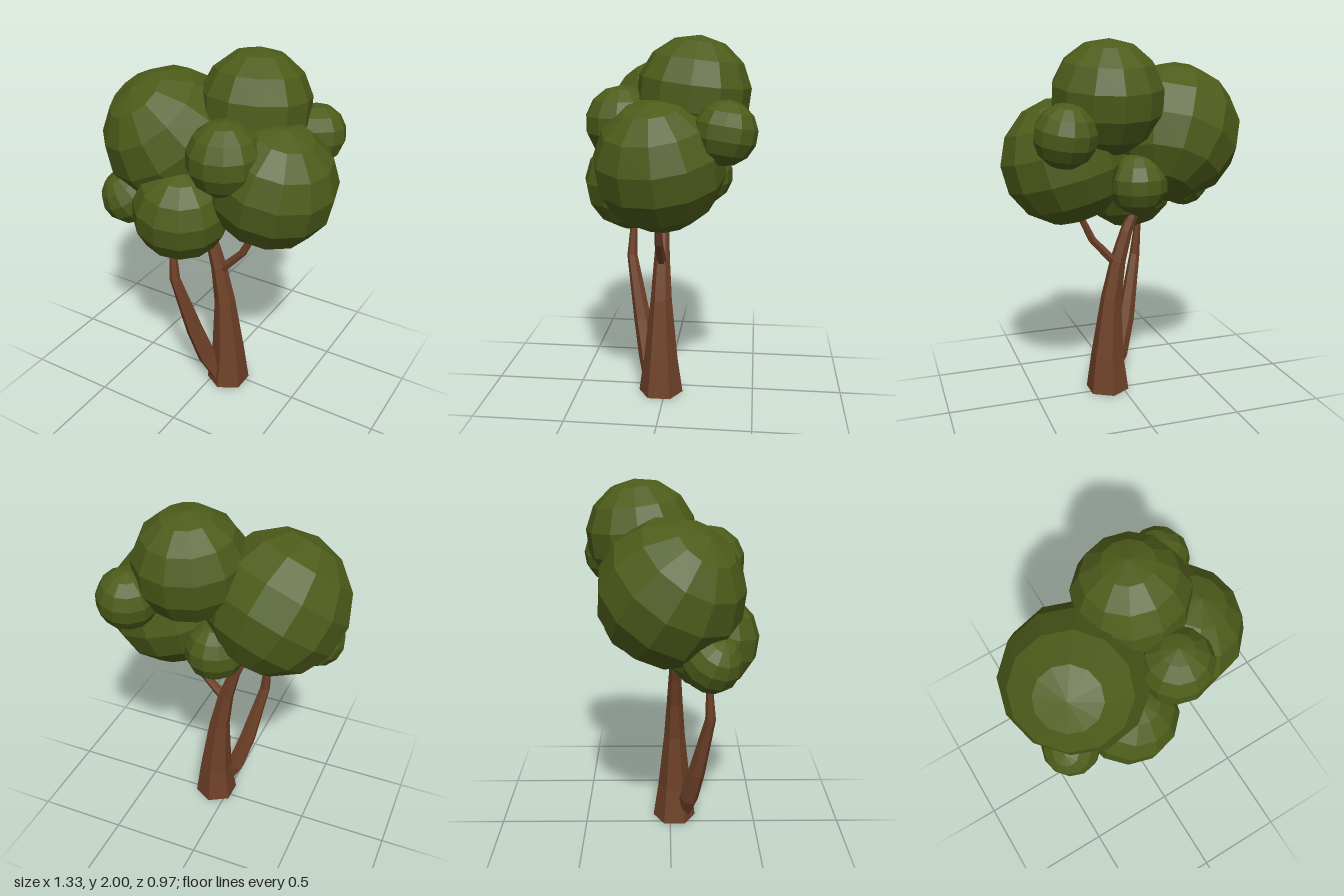
import * as THREE from 'three';

const bark = new THREE.MeshStandardMaterial({ color: 0x6e4128, flatShading: true });
const leaf = new THREE.MeshStandardMaterial({ color: 0x4d5c1a, flatShading: true });

// Six-sided tapering limb; each stop is [x, y, z, radius]
function limb(name, stops, sides = 6) {
  const centres = stops.map(([x, y, z]) => new THREE.Vector3(x, y, z));
  const last = stops.length - 1;
  const pos = [];
  const index = [];
  stops.forEach((s, i) => {
    const t = centres[Math.min(i + 1, last)].clone().sub(centres[Math.max(i - 1, 0)]).normalize();
    const n = new THREE.Vector3(0, 0, 1).addScaledVector(t, -t.z).normalize();
    const b = t.clone().cross(n);
    for (let j = 0; j < sides; j++) {
      const a = (j / sides) * Math.PI * 2;
      const p = centres[i].clone()
        .addScaledVector(n, Math.cos(a) * s[3])
        .addScaledVector(b, Math.sin(a) * s[3]);
      pos.push(p.x, p.y, p.z);
    }
  });
  const bottom = pos.length / 3;
  pos.push(...centres[0].toArray(), ...centres[last].toArray());
  for (let j = 0; j < sides; j++) {
    const k = (j + 1) % sides;
    for (let i = 0; i < last; i++) {
      const lo = i * sides, hi = lo + sides;
      index.push(lo + j, lo + k, hi + k, lo + j, hi + k, hi + j);
    }
    index.push(bottom, k, j, bottom + 1, last * sides + j, last * sides + k);
  }
  const indexed = new THREE.BufferGeometry();
  indexed.setAttribute('position', new THREE.Float32BufferAttribute(pos, 3));
  indexed.setIndex(index);
  const geometry = indexed.toNonIndexed();
  geometry.computeVertexNormals();
  const mesh = new THREE.Mesh(geometry, bark);
  mesh.name = name;
  return mesh;
}

// Faceted ball of leaves, tilted about x and z
function foliage(name, [x, y, z], radius, tiltX = 0, tiltZ = 0) {
  const geometry = new THREE.SphereGeometry(radius, 12, 7).toNonIndexed();
  geometry.computeVertexNormals();
  const mesh = new THREE.Mesh(geometry, leaf);
  mesh.position.set(x, y, z);
  mesh.rotation.set(tiltX, 0, tiltZ);
  mesh.name = name;
  return mesh;
}

export function createModel() {
  const tree = new THREE.Group();
  tree.name = 'tree';

  // Trunk and its two branches
  tree.add(
    limb('trunk', [
      [0.08, 0, 0.025, 0.125], [0.08, 0.21, 0.025, 0.095], [0.055, 0.55, 0.025, 0.06],
      [0.015, 0.77, 0.025, 0.045], [-0.035, 0.94, 0.025, 0.035], [-0.075, 1.03, 0.025, 0.03],
    ]),
    limb('leftBranch', [
      [0.015, 0.74, 0.025, 0.025], [0.06, 0.79, 0.025, 0.027],
      [0.165, 0.905, 0.025, 0.023], [0.245, 1.07, 0.02, 0.018],
    ]),
    limb('rightBranch', [
      [0.05, 0.05, 0.085, 0.045], [-0.015, 0.17, 0.11, 0.055], [-0.075, 0.37, 0.15, 0.05],
      [-0.155, 0.74, 0.22, 0.03], [-0.17, 0.94, 0.21, 0.018], [-0.18, 1.08, 0.2, 0.016],
    ]),
  );

  // Crown of overlapping leaf balls
  tree.add(
    foliage('largeRightFoliage', [-0.285, 1.49, 0], 0.383, 0.55, 0.35),
    foliage('topFoliage', [0.13, 1.703, -0.155], 0.3, -0.12, 0),
    foliage('largeLeftFoliage', [0.325, 1.36, 0], 0.342, 0.1, -0.25),
    foliage('lowerFrontFoliage', [-0.105, 1.185, 0.212], 0.265, 0.15, -0.12),
    foliage('smallFrontFoliage', [0.16, 1.55, 0.213], 0.198),
    foliage('smallRightFoliage', [-0.45, 1.18, 0.205], 0.155, 0.4, 0.4),
    foliage('smallBackFoliage', [0.4, 1.54, -0.33], 0.163, -0.15, 0.1),
    foliage('lowerBackFoliage', [-0.02, 1.255, -0.2], 0.163),
  );
  return tree;
}
